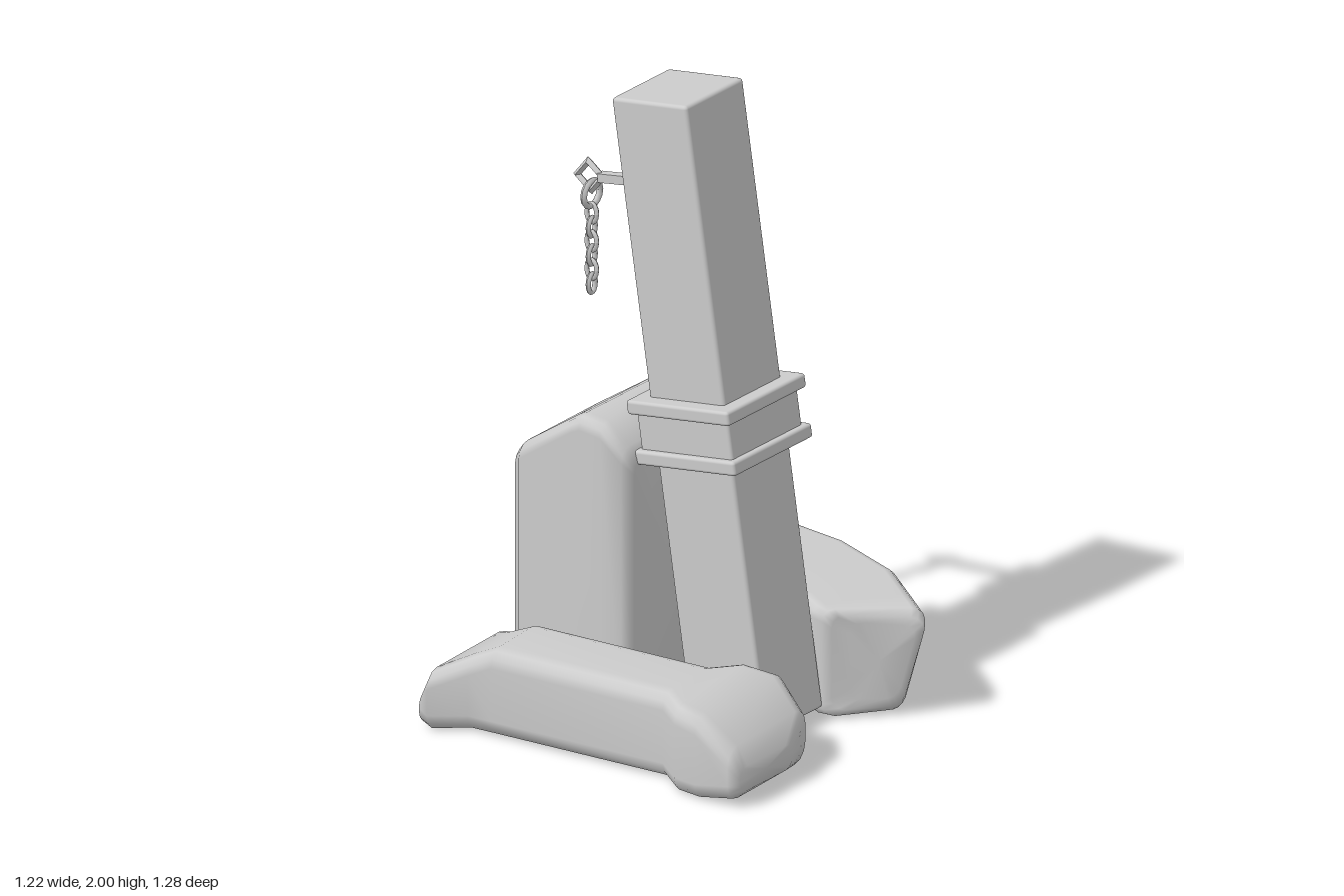
import * as THREE from 'three';
import { RoundedBoxGeometry } from 'three/addons/geometries/RoundedBoxGeometry.js';

const grey = new THREE.MeshStandardMaterial({ color: 0xcccccc });
const greyFlat = new THREE.MeshStandardMaterial({ color: 0xcccccc, flatShading: true });

function add(parent, name, geometry, position = [0, 0, 0], material = grey) {
  const mesh = new THREE.Mesh(geometry, material);
  mesh.name = name;
  mesh.position.set(...position);
  parent.add(mesh);
  return mesh;
}

// Worn stone: rounded upright sections joined along x.
// Each section is [backX, backZ, frontX, frontZ, bottomY, topY].
function stone(sections, radius, warp) {
  const pos = [], index = [], steps = 3, n = 4 * (steps + 1);
  const push = (x, y, z) => {
    const p = new THREE.Vector3(x, y, z);
    if (warp) warp(p);
    pos.push(p.x, p.y, p.z);
  };
  for (const [bx, bz, fx, fz, y0, y1] of sections) {
    const width = Math.hypot(fx - bx, fz - bz);
    const r = Math.min(radius, (y1 - y0) * 0.45, width * 0.45);
    for (let c = 0; c < 4; c++) {
      for (let s = 0; s <= steps; s++) {
        const a = (c + s / steps) * Math.PI / 2;
        const along = (c === 0 || c === 3 ? width - r : r) + r * Math.cos(a);
        const y = (c < 2 ? y1 - r : y0 + r) + r * Math.sin(a);
        const t = along / width;
        push(bx + (fx - bx) * t, y, bz + (fz - bz) * t);
      }
    }
  }
  const last = (sections.length - 1) * n;
  for (let i = 0; i < last; i += n) {
    for (let j = 0; j < n; j++) {
      const k = (j + 1) % n;
      index.push(i + j, i + n + j, i + k, i + k, i + n + j, i + n + k);
    }
  }
  // end caps
  for (const [start, s] of [[0, sections[0]], [last, sections[sections.length - 1]]]) {
    const centre = pos.length / 3;
    push((s[0] + s[2]) / 2, (s[4] + s[5]) / 2, (s[1] + s[3]) / 2);
    for (let j = 0; j < n; j++) {
      const a = start + j, b = start + (j + 1) % n;
      index.push(centre, ...(start === 0 ? [a, b] : [b, a]));
    }
  }
  const g = new THREE.BufferGeometry();
  g.setAttribute('position', new THREE.Float32BufferAttribute(pos, 3));
  g.setIndex(index);
  g.computeVertexNormals();
  return g;
}

// Oval chain link standing in the xy plane
function link(height, width, wire) {
  const g = new THREE.TorusGeometry(0.5, 0.5 * wire, 6, 14);
  const p = g.attributes.position;
  const r = wire / 2;
  for (let i = 0; i < p.count; i++) {
    const a = Math.atan2(p.getY(i), p.getX(i));
    const d = (Math.hypot(p.getX(i), p.getY(i)) - 0.5);
    p.setXYZ(i, Math.cos(a) * (width / 2 - r + d),
      Math.sin(a) * (height / 2 - r + d), p.getZ(i));
  }
  g.computeVertexNormals();
  return g;
}

export function createModel() {
  const model = new THREE.Group();
  model.name = 'leaningPost';

  // Leaning post with its collars
  const post = new THREE.Group();
  post.name = 'post';
  post.position.set(0.205, 0.02, 0.015);
  post.rotation.set(0, -0.045, 0.152, 'YXZ');
  model.add(post);
  const block = (name, w, h, y, r) =>
    add(post, name, new RoundedBoxGeometry(w, h, w, 2, r), [0, y, 0]);
  block('shaft', 0.283, 1.98, 0.99, 0.012);
  block('upperCollar', 0.385, 0.045, 1.017, 0.01);
  block('collarBand', 0.345, 0.16, 0.938, 0.01);
  block('lowerCollar', 0.385, 0.045, 0.86, 0.01);

  // Four-pointed wall plate on the side of the post
  const star = new THREE.Shape();
  const tips = [[0, 0.13], [0.025, 0.035], [0.075, 0.02], [0.03, -0.03],
    [0.015, -0.14], [-0.015, -0.14], [-0.03, -0.03], [-0.075, 0.02], [-0.025, 0.035]];
  star.setFromPoints(tips.map(([x, y]) => new THREE.Vector2(x, y)));
  const plate = add(post, 'hookPlate', new THREE.ExtrudeGeometry(star, {
    depth: 0.03, bevelThickness: 0.01, bevelSize: 0.008, bevelSegments: 1,
  }), [-0.135, 1.635, -0.02], greyFlat);
  plate.rotation.y = -Math.PI / 2;

  // Arm ending in a diamond eye
  const arm = add(model, 'hookArm', new THREE.BoxGeometry(0.22, 0.028, 0.028), [-0.28, 1.626, -0.02]);
  arm.rotation.z = 0.15;
  const eye = add(model, 'diamondEye', new THREE.TorusGeometry(0.046, 0.014, 4, 4), [-0.425, 1.605, -0.02], greyFlat);
  eye.rotation.z = 0.12;

  // Hanging chain, links turned alternately
  const chain = new THREE.Group();
  chain.name = 'chain';
  chain.position.set(-0.417, 0, -0.018);
  model.add(chain);
  add(chain, 'topLink', link(0.1, 0.105, 0.02), [0, 1.55, 0]).rotation.y = Math.PI / 2;
  for (let i = 0; i < 6; i++) {
    const m = add(chain, 'chainLink', link(0.076, 0.052, 0.016), [0, 1.487 - i * 0.0455, 0]);
    m.rotation.y = i % 2 ? Math.PI / 2 : 0;
  }

  // Upright stone beside the post
  add(model, 'uprightStone', stone([
    [-0.528, -0.16, -0.545, 0.19, 0.03, 0.74],
    [-0.525, -0.185, -0.54, 0.205, 0.012, 0.77],
    [-0.49, -0.208, -0.505, 0.236, 0, 0.805],
    [-0.29, -0.2, -0.31, 0.246, 0, 0.94],
    [-0.26, -0.198, -0.28, 0.248, 0, 0.955],
    [-0.18, -0.195, -0.2, 0.255, 0, 0.95],
    [-0.115, -0.185, -0.125, 0.25, 0, 0.885],
    [-0.085, -0.15, -0.105, 0.21, 0.03, 0.84],
  ], 0.045));

  // Long front stone, flared at both ends
  add(model, 'frontStone', stone([
    [-0.61, 0.23, -0.605, 0.61, 0.025, 0.08],
    [-0.6, 0.212, -0.595, 0.627, 0.012, 0.12],
    [-0.56, 0.205, -0.56, 0.637, 0, 0.195],
    [-0.48, 0.28, -0.46, 0.567, 0, 0.24],
    [-0.39, 0.28, -0.38, 0.562, 0, 0.28],
    [0.21, 0.25, 0.22, 0.53, 0, 0.28],
    [0.28, 0.17, 0.31, 0.6, 0, 0.28],
    [0.4, 0.16, 0.39, 0.61, 0, 0.27],
    [0.5, 0.19, 0.505, 0.605, 0.02, 0.19],
    [0.545, 0.32, 0.535, 0.58, 0.05, 0.13],
  ], 0.055));

  // Curved rear stone, its right end undercut
  add(model, 'rearStone', stone([
    [-0.487, -0.55, -0.42, -0.26, 0.04, 0.32],
    [-0.485, -0.575, -0.413, -0.235, 0.025, 0.335],
    [-0.455, -0.602, -0.37, -0.21, 0, 0.355],
    [-0.12, -0.64, -0.16, -0.24, 0, 0.355],
    [0.09, -0.61, 0.06, -0.23, 0, 0.355],
    [0.34, -0.51, 0.2, -0.19, 0, 0.355],
    [0.5, -0.38, 0.3, -0.13, 0, 0.355],
    [0.59, -0.305, 0.345, -0.118, 0.01, 0.355],
    [0.605, -0.28, 0.37, -0.135, 0.03, 0.335],
    [0.585, -0.262, 0.41, -0.175, 0.06, 0.31],
  ], 0.04, (p) => {
    if (p.x > 0.4) p.x -= (p.x - 0.4) * 0.45 * Math.max(0, 1 - p.y / 0.28);
  }));

  return model;
}
